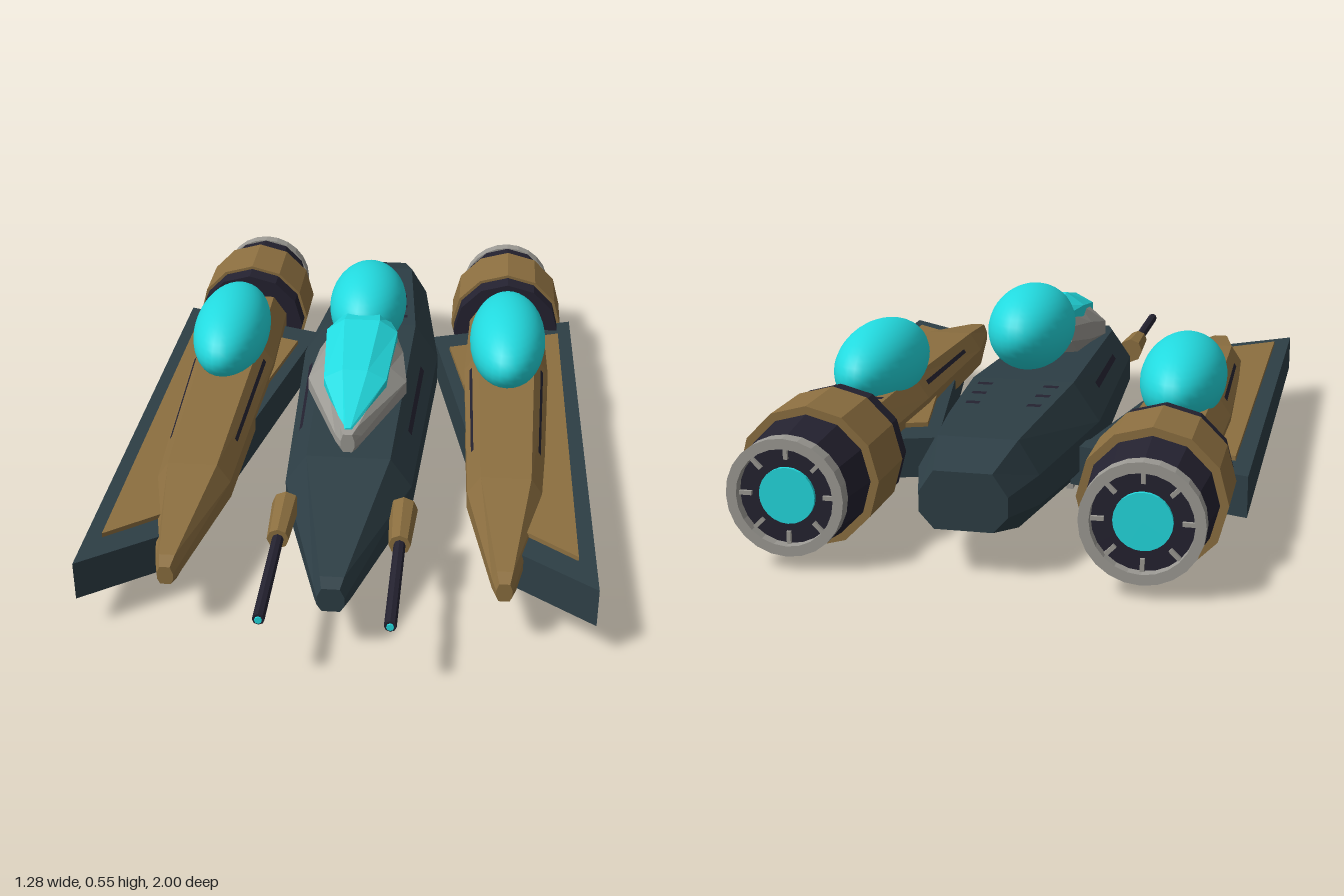
import * as THREE from 'three';

const mat = (name, color) => {
  const m = new THREE.MeshStandardMaterial({ color });
  m.name = name;
  return m;
};

// Faceted normals
function flat(geo) {
  const g = geo.index ? geo.toNonIndexed() : geo;
  g.computeVertexNormals();
  return g;
}

// Eight-sided cross-section; f = flat width share, lo/hi = side band heights
function oct(z, w, yb, yt, f = 0.66, lo = 0.28, hi = 0.62) {
  const h = yt - yb, y1 = yb + h * lo, y2 = yb + h * hi, t = w * f;
  return [[-t, yb], [t, yb], [w, y1], [w, y2], [t, yt], [-t, yt], [-w, y2], [-w, y1]]
    .map(([x, y]) => new THREE.Vector3(x, y, z));
}

// Closed skin over cross-sections ordered from back to front
function loft(rings) {
  const pts = [], n = rings[0].length, last = rings[rings.length - 1];
  for (let s = 0; s < rings.length - 1; s++) {
    for (let i = 0; i < n; i++) {
      const j = (i + 1) % n;
      const a = rings[s][i], b = rings[s][j], c = rings[s + 1][j], d = rings[s + 1][i];
      pts.push(a, b, c, a, c, d);
    }
  }
  for (let i = 1; i < n - 1; i++) {
    pts.push(last[0], last[i], last[i + 1], rings[0][0], rings[0][i + 1], rings[0][i]);
  }
  return flat(new THREE.BufferGeometry().setFromPoints(pts));
}

// Thin painted quad on one lofted face (edge e, from u0 to u1, from z0 to z1)
function decal(rings, e, u0, u1, z0, z1) {
  const at = (u, z) => {
    let s = 0;
    while (s < rings.length - 2 && rings[s + 1][0].z <= z) s++;
    const k = (z - rings[s][0].z) / (rings[s + 1][0].z - rings[s][0].z);
    const p = rings[s][e].clone().lerp(rings[s + 1][e], k);
    const q = rings[s][(e + 1) % 8].clone().lerp(rings[s + 1][(e + 1) % 8], k);
    return p.lerp(q, u);
  };
  const [a, b, c, d] = [at(u0, z0), at(u1, z0), at(u1, z1), at(u0, z1)];
  const n = b.clone().sub(a).cross(d.clone().sub(a)).normalize().multiplyScalar(0.004);
  [a, b, c, d].forEach((p) => p.add(n));
  return flat(new THREE.BufferGeometry().setFromPoints([a, b, c, a, c, d]));
}

// Horizontal plate from an [x, z] outline, hanging down from its top height
function plate(outline, side, top, thick) {
  const shape = new THREE.Shape(outline.map(([x, z]) => new THREE.Vector2(x * side, z)));
  return new THREE.ExtrudeGeometry(shape, { depth: thick, bevelEnabled: false })
    .rotateX(Math.PI / 2).translate(0, top, 0);
}

// Faceted drum along z
function drum(rFront, rBack, zFront, zBack, sides = 12) {
  return flat(new THREE.CylinderGeometry(rFront, rBack, zFront - zBack, sides)
    .rotateX(Math.PI / 2).translate(0, 0, (zFront + zBack) / 2));
}

export function createModel() {
  const slate = mat('slate hull', 0x2d3e45);
  const gold = mat('bronze gold', 0x8c6f40);
  const dark = mat('dark metal', 0x242230);
  const grey = mat('pale grey', 0x9c9a94);
  const cyan = mat('cyan glass', 0x22dadf);

  const model = new THREE.Group();
  model.name = 'spacecraft';
  const add = (parent, name, geo, material, x = 0, y = 0, z = 0) => {
    const m = new THREE.Mesh(geo, material);
    m.name = name;
    m.position.set(x, y, z);
    parent.add(m);
    return m;
  };

  // Fuselage
  const hull = [
    oct(-0.96, 0.105, 0.12, 0.26), oct(-0.82, 0.147, 0.085, 0.3), oct(-0.35, 0.205, 0.05, 0.318),
    oct(0.4, 0.168, 0.075, 0.29), oct(0.82, 0.045, 0.12, 0.207), oct(0.855, 0.034, 0.13, 0.195),
  ];
  add(model, 'fuselage', loft(hull), slate);
  for (const z of [-0.57, -0.49, -0.41]) {
    for (const u of [0.09, 0.76]) {
      add(model, 'hullVent', decal(hull, 4, u, u + 0.15, z - 0.01, z + 0.01), dark);
    }
  }
  for (const e of [3, 5]) add(model, 'hullSlot', decal(hull, e, 0.42, 0.58, -0.17, 0.2), dark);

  // Cockpit, canopy and dorsal dome
  add(model, 'cockpitFrame', loft([
    oct(-0.12, 0.085, 0.34, 0.46), oct(0, 0.118, 0.315, 0.458), oct(0.13, 0.136, 0.312, 0.42),
    oct(0.39, 0.035, 0.314, 0.377), oct(0.42, 0.018, 0.318, 0.37),
  ]), grey);
  add(model, 'canopy', loft([
    oct(-0.12, 0.07, 0.4, 0.475, 0.6), oct(-0.02, 0.1, 0.4, 0.49, 0.5), oct(0.2, 0.085, 0.375, 0.445, 0.4),
    oct(0.4, 0.012, 0.36, 0.379, 0.5),
  ]), cyan);
  const ball = new THREE.SphereGeometry(1, 32, 20);
  add(model, 'dorsalDome', ball, cyan, 0, 0.44, -0.237).scale.set(0.112, 0.112, 0.195);

  // Belly hatch and skids
  add(model, 'bellyHatch', loft([
    oct(-0.36, 0.1, 0.022, 0.07, 0.92), oct(-0.04, 0.1, 0.022, 0.07, 0.92),
  ]), dark);

  const wing = [[0.64, 0.81], [0.62, -0.67], [0.16, -0.51], [0.2, -0.45], [0.42, 0.65]];
  const panel = [[0.595, 0.69], [0.58, -0.555], [0.24, -0.43], [0.44, 0.57]];
  const pod = [
    oct(-0.66, 0.115, 0.13, 0.28), oct(-0.25, 0.125, 0.125, 0.285), oct(0.41, 0.1, 0.12, 0.255),
    oct(0.76, 0.03, 0.135, 0.205), oct(0.795, 0.02, 0.142, 0.192),
  ];
  const rim = [[0.118, 0], [0.143, 0], [0.143, 0.035], [0.118, 0.035], [0.118, 0]]
    .map(([r, y]) => new THREE.Vector2(r, y));

  for (const s of [1, -1]) {
    const label = s > 0 ? 'left' : 'right';
    const sideGroup = new THREE.Group();
    sideGroup.name = label + 'Side';
    model.add(sideGroup);

    add(sideGroup, 'skid', new THREE.BoxGeometry(0.018, 0.014, 0.19), grey, s * 0.115, 0.012, -0.2);

    // Wing with its top panel and underside hatch
    add(sideGroup, 'wing', plate(wing, s, 0.198, 0.104), slate);
    add(sideGroup, 'wingPanel', plate(panel, s, 0.21, 0.015), gold);
    add(sideGroup, 'wingHatch', new THREE.BoxGeometry(0.14, 0.008, 0.19), gold, s * 0.42, 0.092, -0.17);

    // Pod with slots, vents and dome
    const podGroup = new THREE.Group();
    podGroup.name = label + 'Pod';
    podGroup.position.x = s * 0.415;
    sideGroup.add(podGroup);
    add(podGroup, 'podBody', loft(pod), gold);
    for (const e of [3, 5]) add(podGroup, 'podSlot', decal(pod, e, 0.42, 0.6, -0.2, 0.25), dark);
    for (const u of [0.04, 0.74]) add(podGroup, 'podVent', decal(pod, 4, u, u + 0.22, -0.5, -0.48), dark);
    add(podGroup, 'podDome', ball, cyan, 0, 0.327, -0.263).scale.set(0.112, 0.112, 0.243);

    // Engine
    const engine = new THREE.Group();
    engine.name = label + 'Engine';
    engine.position.set(s * 0.415, 0.182, 0);
    sideGroup.add(engine);
    add(engine, 'intakeRing', drum(0.168, 0.168, -0.6, -0.67), dark);
    add(engine, 'engineBand', drum(0.177, 0.177, -0.66, -0.845), gold);
    add(engine, 'nozzle', drum(0.157, 0.14, -0.84, -0.975), dark);
    add(engine, 'nozzleRim', flat(new THREE.LatheGeometry(rim, 24).rotateX(Math.PI / 2)), grey, 0, 0, -1);
    add(engine, 'exhaustGlow', drum(0.068, 0.068, -0.97, -0.984, 24), cyan);
    for (let i = 0; i < 8; i++) {
      const a = (i * Math.PI) / 4;
      const vane = add(engine, 'exhaustVane', new THREE.BoxGeometry(0.035, 0.01, 0.012), grey,
        Math.cos(a) * 0.105, Math.sin(a) * 0.105, -0.977);
      vane.rotation.z = a;
    }

    // Nose gun
    const gun = new THREE.Group();
    gun.name = label + 'Gun';
    gun.position.set(s * 0.153, 0.202, 0);
    sideGroup.add(gun);
    add(gun, 'gunHousing', drum(0.028, 0.037, 0.665, 0.5, 8), gold);
    add(gun, 'gunBarrel', drum(0.015, 0.015, 0.995, 0.64, 8), dark);
    add(gun, 'gunTip', drum(0.009, 0.009, 1, 0.99, 8), cyan);
  }
  return model;
}
